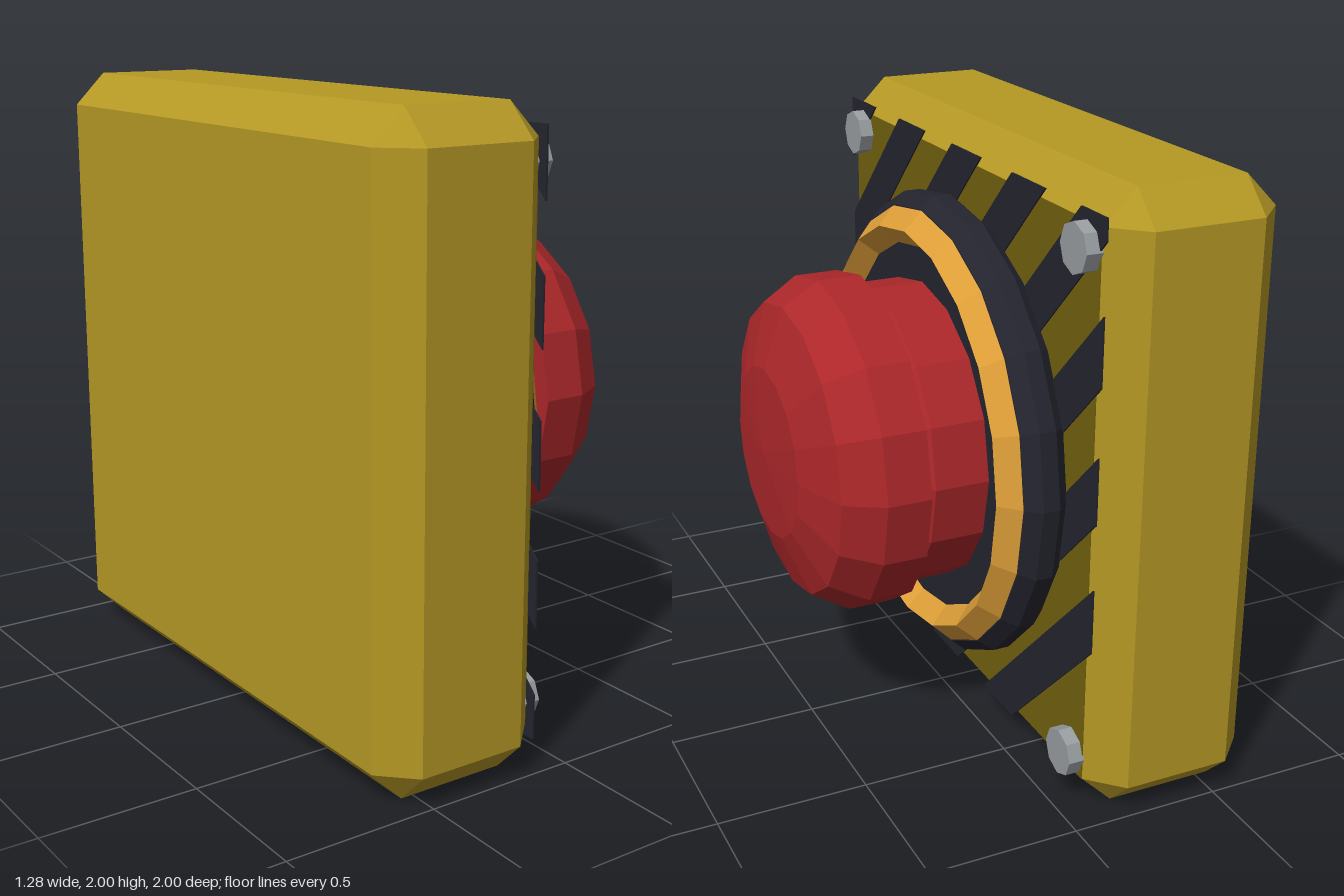
import * as THREE from 'three';
import { ConvexGeometry } from 'three/addons/geometries/ConvexGeometry.js';

function mat(name, color) {
  const m = new THREE.MeshStandardMaterial({ color, flatShading: true });
  m.name = name;
  return m;
}

export function createModel() {
  const yellow = mat('housing yellow', 0xb59824);
  const olive = mat('panel olive', 0x73610f);
  const black = mat('dark trim', 0x24242f);
  const orange = mat('ring orange', 0xdf9f38);
  const red = mat('button red', 0xac272a);
  const steel = mat('bolt steel', 0x989da1);

  const root = new THREE.Group();
  root.name = 'pushButton';
  // Everything is placed around the button axis, one unit above the ground.
  const body = new THREE.Group();
  body.name = 'assembly';
  body.position.y = 1;
  root.add(body);

  const add = (name, geometry, material) => {
    const mesh = new THREE.Mesh(geometry, material);
    mesh.name = name;
    body.add(mesh);
    return mesh;
  };
  // Turned part: profile of [radius, x], spun about the x axis.
  const turned = (name, profile, sides, material) => {
    const pts = profile.map(([r, x]) => new THREE.Vector2(r, x));
    return add(name, new THREE.LatheGeometry(pts, sides).rotateZ(-Math.PI / 2), material);
  };

  // Housing: a box with every edge and corner chamfered
  const c = 0.105, half = [0.285, 1, 1], corners = [];
  for (const sx of [-1, 1]) for (const sy of [-1, 1]) for (const sz of [-1, 1]) {
    for (let axis = 0; axis < 3; axis++) {
      const p = [sx, sy, sz].map((s, i) => s * (half[i] - (i === axis ? 0 : c)));
      corners.push(new THREE.Vector3(...p));
    }
  }
  add('housing', new ConvexGeometry(corners), yellow).position.x = -0.36;

  // Face panel
  add('facePanel', new THREE.BoxGeometry(0.004, 1.79, 1.79), olive).position.x = -0.074;

  // Diagonal warning stripes, clipped to a square
  const e = 0.93;
  const clip = (poly, dist) => poly.flatMap((p, i) => {
    const q = poly[(i + 1) % poly.length], a = dist(p), b = dist(q);
    const out = a >= 0 ? [p] : [];
    if (a * b < 0) out.push(p.clone().lerp(q, a / (a - b)));
    return out;
  });
  for (let k = 0; k < 8; k++) {
    const low = 1.645 - 0.4285 * k, high = low + 0.215;
    let poly = [[-e, -e], [e, -e], [e, e], [-e, e]].map(([x, y]) => new THREE.Vector2(x, y));
    poly = clip(poly, p => p.y - p.x - low);
    poly = clip(poly, p => high - (p.y - p.x));
    const g = new THREE.ExtrudeGeometry(new THREE.Shape(poly), { depth: 0.006, bevelEnabled: false });
    add('stripe', g.rotateY(Math.PI / 2), black).position.x = -0.073;
  }

  // Corner bolts
  for (const sy of [-1, 1]) for (const sz of [-1, 1]) {
    const g = new THREE.CylinderGeometry(0.078, 0.078, 0.053, 8).rotateZ(-Math.PI / 2);
    add('bolt', g, steel).position.set(-0.051, 0.823 * sy, 0.823 * sz);
  }

  // Collar and trim ring
  turned('collar', [[0.745, -0.075], [0.785, -0.03], [0.785, 0.025], [0.745, 0.07], [0, 0.07]], 20, black);
  add('trimRing', new THREE.TorusGeometry(0.68, 0.061, 4, 20).rotateY(Math.PI / 2), orange).position.x = 0.071;

  // Button neck and domed cap
  turned('buttonNeck', [[0.505, 0.07], [0.505, 0.25], [0.465, 0.286]], 16, red);
  turned('buttonCap', [[0, 0.285], [0.555, 0.285], [0.555, 0.43], [0.483, 0.552], [0.285, 0.62], [0, 0.637]], 16, red);

  return root;
}
